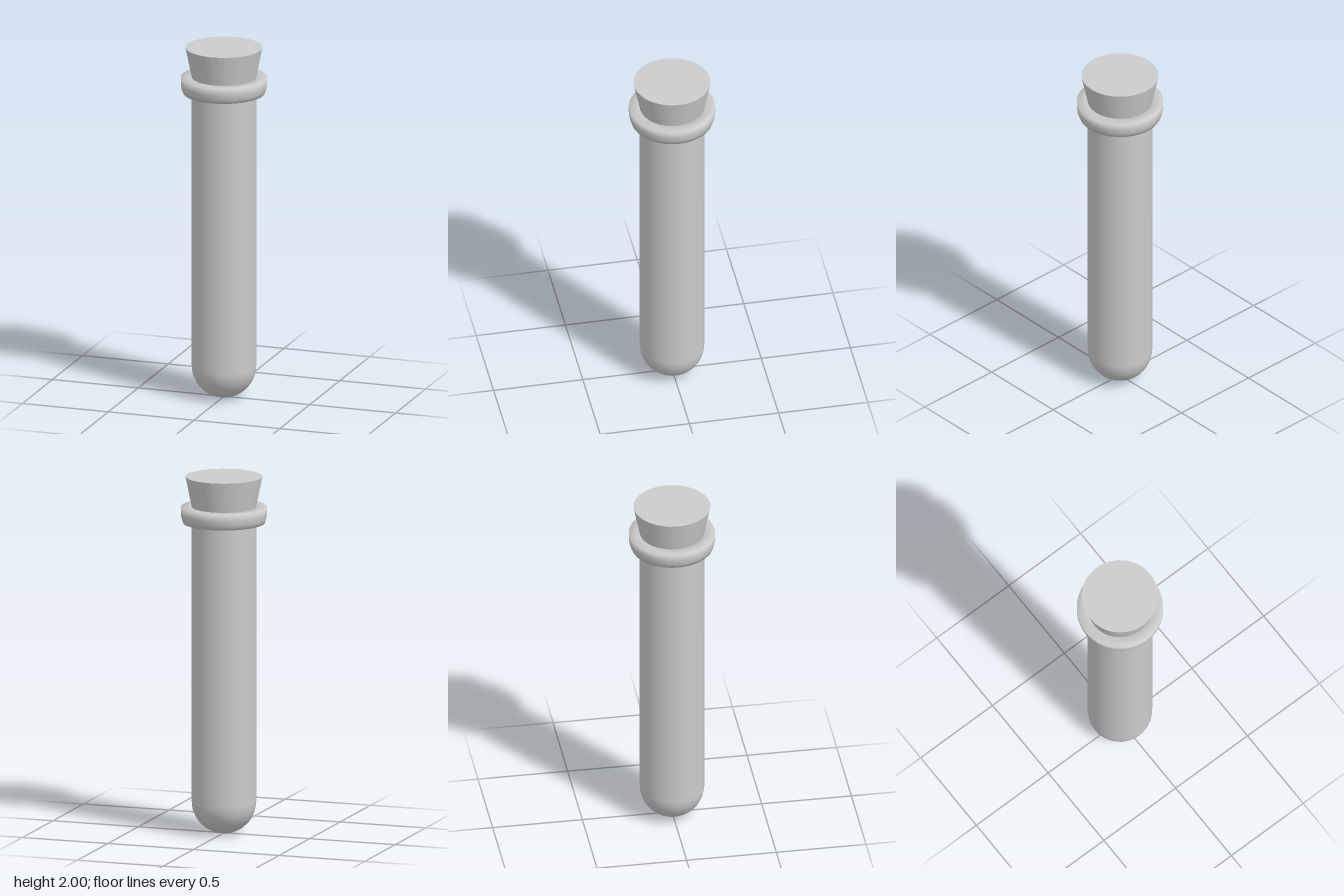
import * as THREE from 'three';
import { toCreasedNormals } from 'three/addons/utils/BufferGeometryUtils.js';

const SIDES = 32;
const TUBE_R = 0.178;

// Surface of revolution from [radius, height] pairs, listed bottom to top on the outside
function turned(name, profile, crease) {
  const points = profile.map(([r, y]) => new THREE.Vector2(r, y));
  let geometry = new THREE.LatheGeometry(points, SIDES);
  if (crease) geometry = toCreasedNormals(geometry, crease);
  const material = new THREE.MeshStandardMaterial({ color: 0xcccccc, side: THREE.DoubleSide });
  const mesh = new THREE.Mesh(geometry, material);
  mesh.name = name;
  return mesh;
}

export function createModel() {
  const group = new THREE.Group();
  group.name = 'stopperedTube';

  // Tube: round bottom and straight wall
  const tube = [];
  const steps = 12;
  for (let i = 0; i <= steps; i++) {
    const a = (i / steps) * Math.PI / 2;
    tube.push([TUBE_R * Math.sin(a), TUBE_R * (1 - Math.cos(a))]);
  }
  tube.push([TUBE_R, 1.69], [TUBE_R, 1.75]);
  group.add(turned('tube', tube));

  // Lip: thick collar round the mouth, turned in to meet the stopper
  group.add(turned('lip', [
    [TUBE_R, 1.74], [0.225, 1.74], [0.234, 1.765], [0.238, 1.79],
    [0.238, 1.83], [0.176, 1.83], [0.165, 1.8],
  ]));

  // Stopper: tapered plug with a flat top, seated in the mouth
  group.add(turned('stopper', [
    [0, 1.74], [0.16, 1.74], [0.178, 1.83], [0.212, 2], [0, 2],
  ], 0.6));

  return group;
}
